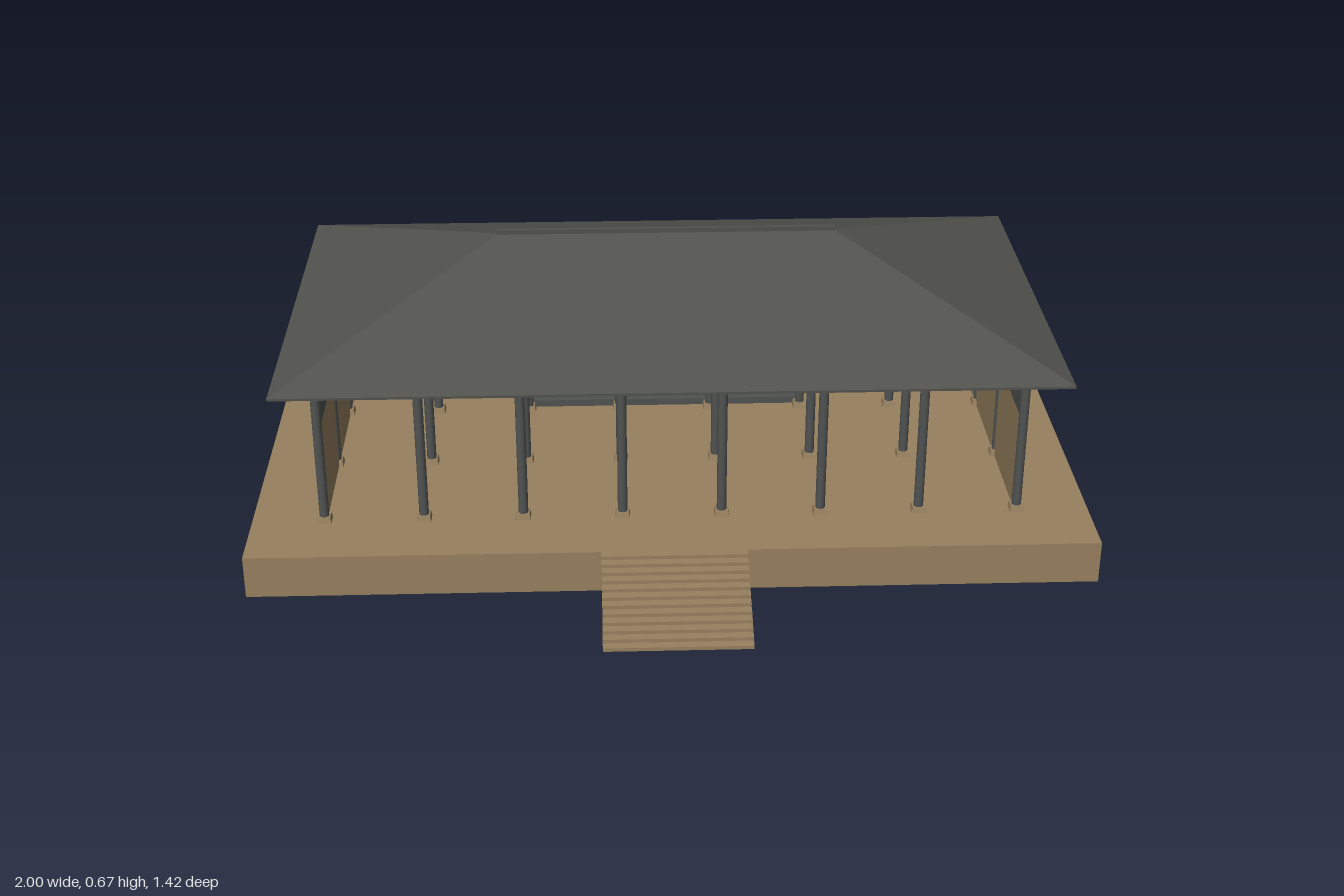
import * as THREE from 'three';

const mat = (name, color) => {
  const m = new THREE.MeshStandardMaterial({ color });
  m.name = name;
  return m;
};

export function createModel() {
  const earth = mat('earth', 0x97805f);
  const timber = mat('dark timber', 0x505352);
  const tile = mat('roof tile', 0x51524d);

  const model = new THREE.Group();
  model.name = 'hall';

  const add = (name, geometry, material, x = 0, y = 0, z = 0) => {
    const mesh = new THREE.Mesh(geometry, material);
    mesh.name = name;
    mesh.position.set(x, y, z);
    model.add(mesh);
    return mesh;
  };
  // Box given by its lower and upper limits on each axis
  const block = (name, material, [x0, x1], [y0, y1], [z0, z1]) =>
    add(name, new THREE.BoxGeometry(x1 - x0, y1 - y0, z1 - z0), material,
      (x0 + x1) / 2, (y0 + y1) / 2, (z0 + z1) / 2);

  const floor = 0.105, wallSplit = 0.35, beamY = 0.46, eaveY = 0.475;
  const midZ = -0.127, halfX = 0.828, halfZ = 0.415;
  const frontZ = midZ + halfZ, backZ = midZ - halfZ;

  // Raised platform
  block('platform', earth, [-1, 1], [0, floor], [-0.71, 0.456]);

  // Front stairs as one stepped profile
  const steps = 12, run = 0.254 / steps, rise = floor / steps;
  const profile = new THREE.Shape();
  profile.moveTo(0, 0);
  profile.lineTo(0, floor);
  for (let i = 1; i <= steps; i++) {
    profile.lineTo(i * run, floor - (i - 1) * rise);
    profile.lineTo(i * run, floor - i * rise);
  }
  const stairs = new THREE.ExtrudeGeometry(profile, { depth: 0.34, bevelEnabled: false });
  stairs.translate(0, 0, -0.17);
  stairs.rotateY(-Math.PI / 2);
  add('stairs', stairs, earth, 0, 0, 0.456);

  // Grid of columns on plinths
  const columnGeo = new THREE.CylinderGeometry(0.0115, 0.0115, eaveY - floor, 12);
  const plinthGeo = new THREE.CylinderGeometry(0.021, 0.025, 0.014, 4, 1);
  plinthGeo.rotateY(Math.PI / 4);
  const plinths = plinthGeo.toNonIndexed();
  plinths.computeVertexNormals();
  for (let i = 0; i < 8; i++) {
    for (let j = 0; j < 4; j++) {
      const x = -halfX + (i * 2 * halfX) / 7;
      const z = backZ + (j * 2 * halfZ) / 3;
      add('column', columnGeo, timber, x, (floor + eaveY) / 2, z);
      add('plinth', plinths, earth, x, floor + 0.007, z);
    }
  }

  // Walls on the back and both sides: earth below, timber above
  const t = 0.006;
  for (const [label, material, y] of [
    ['lower', earth, [floor, wallSplit]],
    ['upper', timber, [wallSplit, eaveY]],
  ]) {
    block(label + 'BackWall', material, [-halfX, halfX], y, [backZ - t, backZ + t]);
    for (const s of [-1, 1]) {
      block(label + 'SideWall', material, [s * halfX - t, s * halfX + t], y, [backZ, frontZ]);
    }
  }

  // Beams under the eaves
  const b = 0.009;
  for (let j = 0; j < 4; j++) {
    const z = backZ + (j * 2 * halfZ) / 3;
    block('longBeam', timber, [-halfX, halfX], [beamY, eaveY], [z - b, z + b]);
  }
  for (const s of [-1, 1]) {
    block('sideBeam', timber, [s * halfX - b, s * halfX + b], [beamY, eaveY], [backZ, frontZ]);
  }

  // Low dais in front of the back wall
  block('dais', timber, [-0.355, 0.355], [floor, 0.123], [-0.5, -0.28]);

  // Hipped roof: a box whose top is drawn in to the ridge
  const eaveX = 0.922, eaveHalfZ = 0.512, ridgeX = 0.41, ridgeY = 0.665;
  block('eaves', tile, [-eaveX, eaveX], [eaveY, 0.481], [midZ - eaveHalfZ, midZ + eaveHalfZ]);
  const hip = new THREE.BoxGeometry(2 * eaveX, ridgeY - 0.481, 2 * eaveHalfZ).toNonIndexed();
  const p = hip.attributes.position;
  for (let i = 0; i < p.count; i++) {
    if (p.getY(i) > 0) {
      p.setX(i, Math.sign(p.getX(i)) * ridgeX);
      p.setZ(i, 0);
    }
  }
  hip.computeVertexNormals();
  add('roof', hip, tile, 0, (ridgeY + 0.481) / 2, midZ);
  block('ridgeCap', tile, [-0.415, 0.415], [0.658, 0.674], [midZ - 0.006, midZ + 0.006]);

  return model;
}
